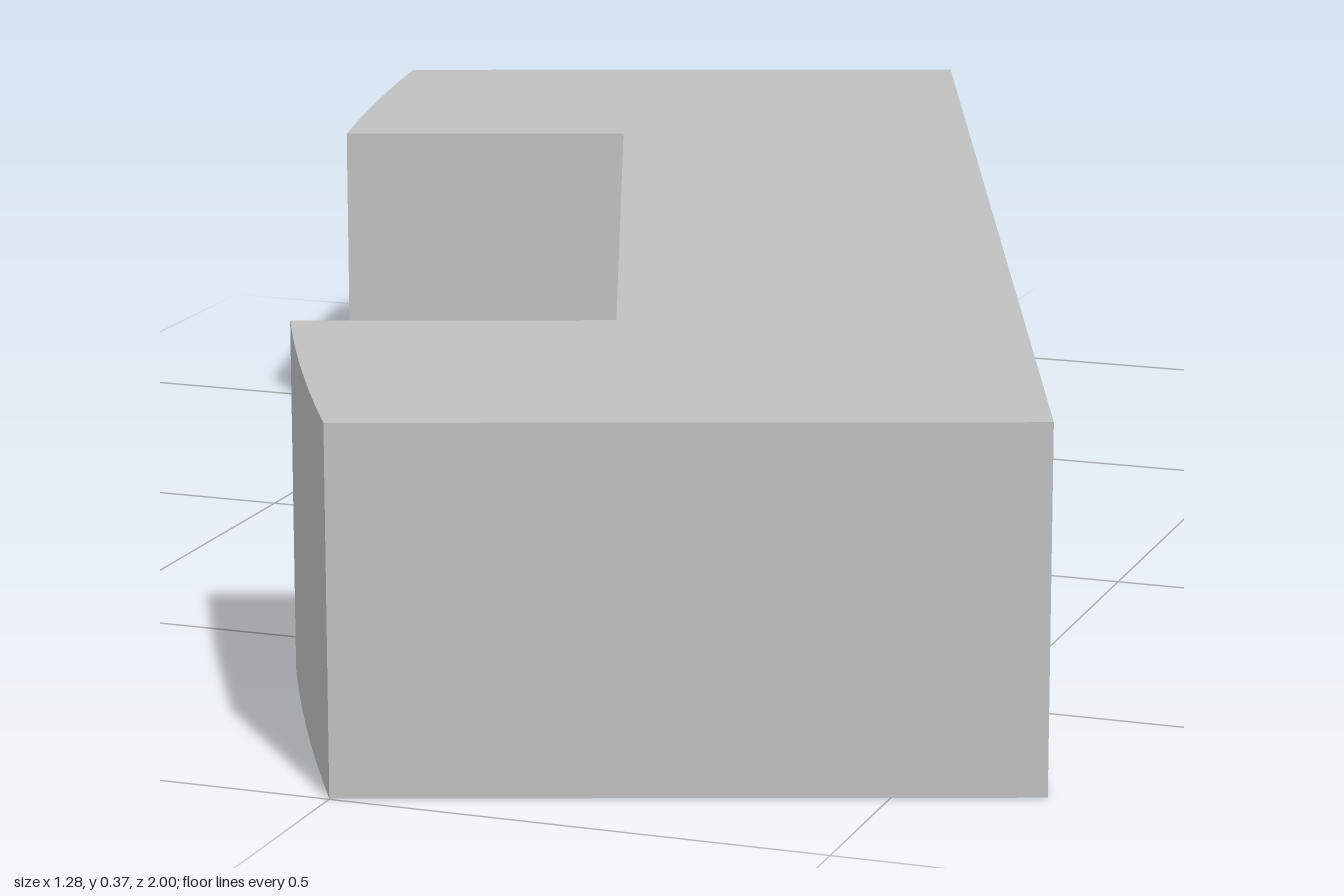
import * as THREE from 'three';

export function createModel() {
  const group = new THREE.Group();
  group.name = 'bracket';
  const grey = new THREE.MeshStandardMaterial({ color: 0xc0c0c0 });
  grey.name = 'light grey';

  const half = 0.939;    // half the spine length
  const inner = 0.505;   // inner side of each arm
  const spine = 0.412;   // spine width
  const height = 0.367;
  const radius = 5.28, centre = 4.514; // shared circle of the arm tips

  // Points along the curved tip of an arm
  const tip = (from, to, steps = 10) => {
    const points = [];
    for (let i = 0; i <= steps; i++) {
      const y = from + (to - from) * i / steps;
      points.push(new THREE.Vector2(centre - Math.sqrt(radius * radius - y * y), y));
    }
    return points;
  };

  // C-shaped outline: straight back, two arms with arced tips
  const outline = new THREE.Shape([
    new THREE.Vector2(0, -half),
    new THREE.Vector2(0, half),
    ...tip(half, inner),
    new THREE.Vector2(-spine, inner),
    new THREE.Vector2(-spine, -inner),
    ...tip(-inner, -half),
  ]);
  const geometry = new THREE.ExtrudeGeometry(outline, { depth: height, bevelEnabled: false });
  geometry.rotateX(-Math.PI / 2);

  const body = new THREE.Mesh(geometry, grey);
  body.name = 'bracketBody';
  body.rotation.y = 0.348;
  body.position.set(0.32, 0, -0.1175);
  group.add(body);
  return group;
}
